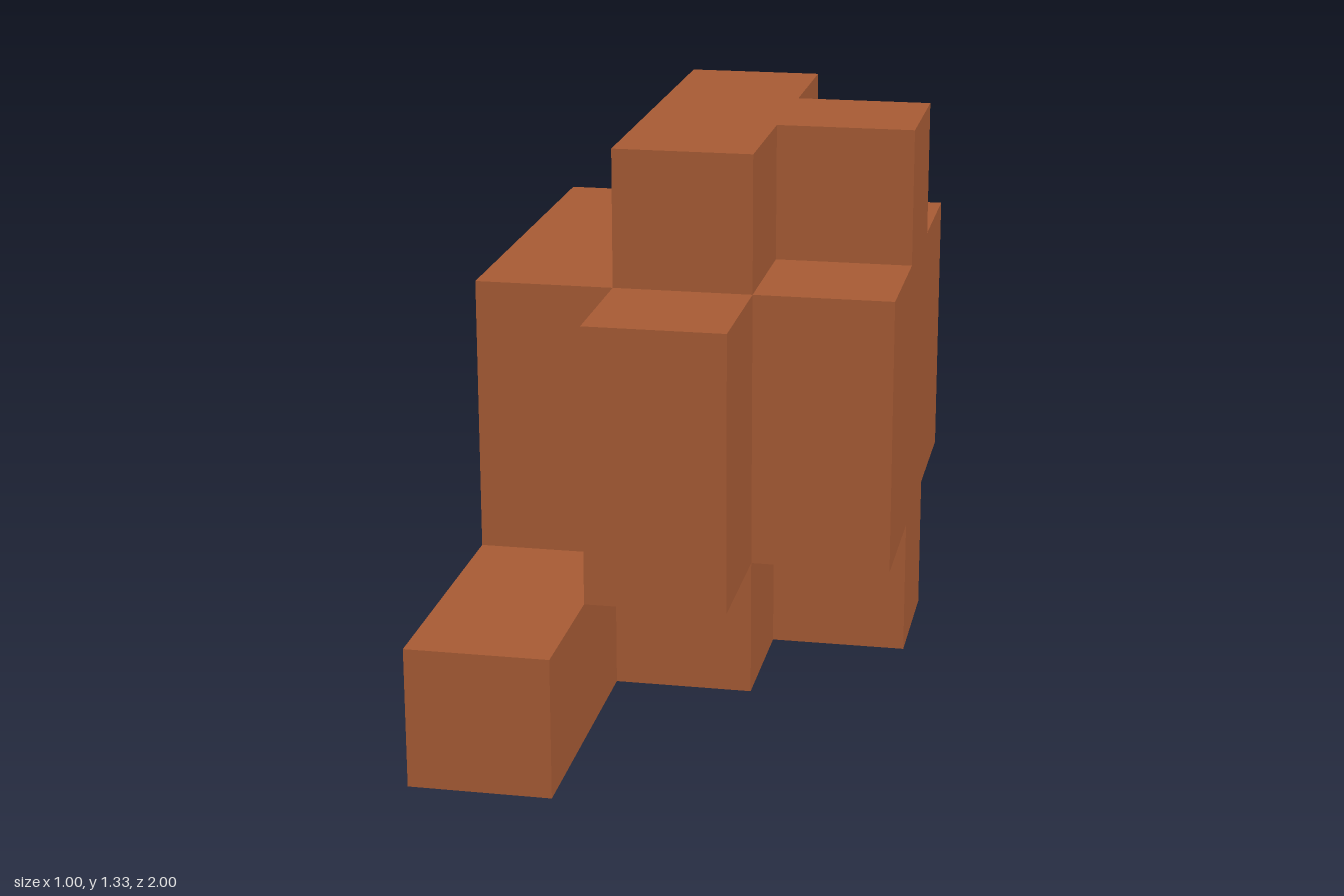
import * as THREE from 'three';

const U = 1 / 3; // edge of one block

// Extrudes a floor-plan outline, given in block units [x, z], upwards from level y.
function layer(name, outline, y, height, material) {
  const shape = new THREE.Shape(
    outline.map(([x, z]) => new THREE.Vector2((x - 1.5) * U, (3 - z) * U))
  );
  const geometry = new THREE.ExtrudeGeometry(shape, { depth: height * U, bevelEnabled: false });
  geometry.rotateX(-Math.PI / 2);
  geometry.translate(0, y * U, 0);
  const mesh = new THREE.Mesh(geometry, material);
  mesh.name = name;
  return mesh;
}

export function createModel() {
  const model = new THREE.Group();
  model.name = 'blockSculpture';
  const clay = new THREE.MeshStandardMaterial({ color: 0xa95c35 });
  clay.name = 'clay brown';

  // Base: narrow spine, a side stub and the long forward foot
  model.add(layer('baseWithFoot', [
    [1, 1], [2, 1], [2, 2], [3, 2], [3, 3], [2, 3],
    [2, 4], [1, 4], [1, 6], [0, 6], [0, 3], [1, 3],
  ], 0, 1, clay));

  // Body: two blocks tall, cross-shaped plan
  model.add(layer('body', [
    [1, 0], [2, 0], [2, 1], [3, 1], [3, 4], [2, 4],
    [2, 5], [1, 5], [1, 4], [0, 4], [0, 1], [1, 1],
  ], 1, 2, clay));

  // Top: T-shaped ridge
  model.add(layer('topRidge', [
    [1, 1], [2, 1], [2, 2], [3, 2], [3, 3], [2, 3], [2, 4], [1, 4],
  ], 3, 1, clay));

  return model;
}
